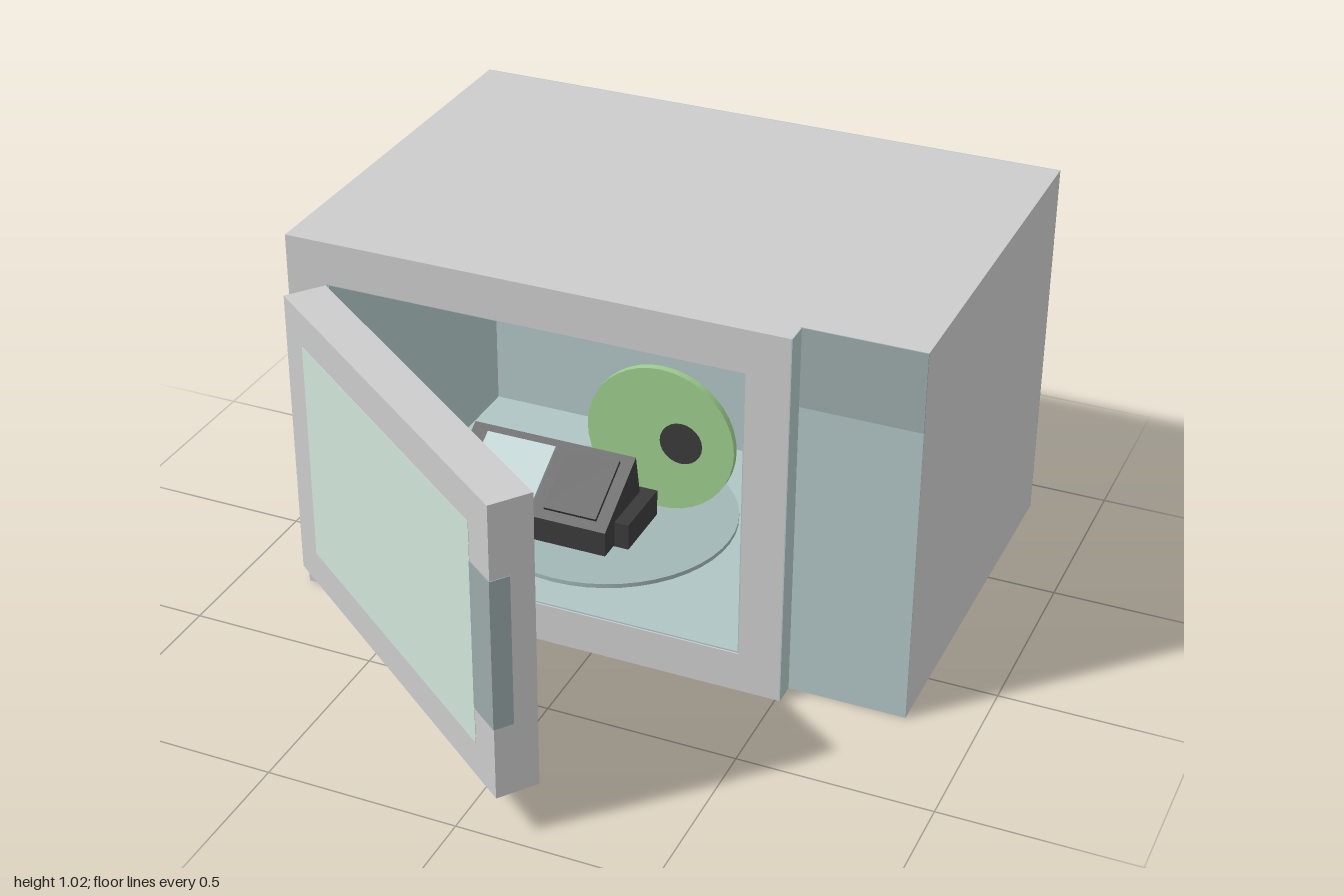
import * as THREE from 'three';

const mat = (color) => new THREE.MeshStandardMaterial({ color });
const grey = mat(0xcccccc), teal = mat(0xb0c4c4), display = mat(0x9caaaa);
const glass = mat(0xcfe3d8), plateGlass = mat(0xa2b6b6), dark = mat(0x3a3a3a), green = mat(0x9ccb8c);

function add(parent, name, geometry, material) {
  const mesh = new THREE.Mesh(geometry, material);
  mesh.name = name;
  parent.add(mesh);
  return mesh;
}

// Box given by its lower and upper limits
function box(parent, name, [x0, x1], [y0, y1], [z0, z1], material) {
  const geometry = new THREE.BoxGeometry(x1 - x0, y1 - y0, z1 - z0);
  geometry.translate((x0 + x1) / 2, (y0 + y1) / 2, (z0 + z1) / 2);
  return add(parent, name, geometry, material);
}

function outline(target, [x0, x1], [y0, y1]) {
  target.moveTo(x0, y0);
  target.lineTo(x1, y0);
  target.lineTo(x1, y1);
  target.lineTo(x0, y1);
  target.closePath();
  return target;
}

// Rectangular frame extruded from z0 to z1
function frame(parent, name, outer, inner, [z0, z1], material) {
  const shape = outline(new THREE.Shape(), ...outer);
  shape.holes.push(outline(new THREE.Path(), ...inner));
  const geometry = new THREE.ExtrudeGeometry(shape, { depth: z1 - z0, bevelEnabled: false });
  geometry.translate(0, 0, z0);
  return add(parent, name, geometry, material);
}

export function createModel() {
  const model = new THREE.Group();
  model.name = 'microwaveOven';

  // Casing with an open cavity
  const opening = [[-0.71, 0.4], [0.11, 0.905]];
  const lining = [[-0.706, 0.396], [0.114, 0.901]];
  frame(model, 'cavityCasing', [[-0.82, 0.51], [0, 1.02]], opening, [-0.67, 0.24], grey);
  box(model, 'controlCasing', [0.51, 0.82], [0, 1.02], [-0.67, 0.177], grey);
  box(model, 'rearCasing', [-0.82, 0.82], [0, 1.02], [-0.887, -0.67], grey);
  frame(model, 'cavityWalls', opening, lining, [-0.67, 0.236], teal);
  box(model, 'cavityBack', ...lining, [-0.67, -0.665], teal);

  // Control panel, display and the step beside them
  box(model, 'controlPanel', [0.51, 0.82], [0, 0.81], [0.177, 0.18], teal);
  box(model, 'display', [0.51, 0.82], [0.81, 1.02], [0.177, 0.18], display);
  box(model, 'panelStep', [0.51, 0.513], [0, 1.02], [0.18, 0.24], teal);

  // Back panel with a tapered housing
  box(model, 'backPanel', [-0.82, 0.82], [0, 1.02], [-0.89, -0.887], teal);
  const housing = new THREE.BoxGeometry(1.34, 0.72, 0.11);
  const p = housing.attributes.position;
  for (let i = 0; i < p.count; i++) {
    if (p.getZ(i) < 0) p.setXY(i, p.getX(i) * 0.91, p.getY(i) * 0.917);
  }
  housing.translate(0, 0.51, -0.945);
  housing.computeVertexNormals();
  add(model, 'backHousing', housing, teal);

  // Door swung open on its hinge
  const door = new THREE.Group();
  door.name = 'door';
  door.position.set(-0.71, 0, 0.245);
  door.rotation.y = -Math.atan2(0.665, 0.885);
  model.add(door);
  frame(door, 'doorFrame', [[0, 1.107], [0.115, 0.905]], [[0.1, 1.01], [0.21, 0.81]], [0, 0.112], grey);
  box(door, 'doorWindow', [0.1, 1.01], [0.21, 0.81], [0.106, 0.113], glass);
  box(door, 'doorGrip', [1.01, 1.109], [0.31, 0.71], [0.062, 0.114], display);

  // Turntable
  const plate = add(model, 'turntable', new THREE.CylinderGeometry(0.35, 0.35, 0.012, 48), plateGlass);
  plate.position.set(-0.155, 0.12, -0.21);

  // Small dark device with a sloping top
  const device = new THREE.Group();
  device.name = 'device';
  model.add(device);
  const side = new THREE.Shape([[0, 0.13], [0, 0.2], [0.2, 0.32], [0.24, 0.13]]
    .map(([x, y]) => new THREE.Vector2(x, y)));
  const body = add(device, 'deviceBody',
    new THREE.ExtrudeGeometry(side, { depth: 0.47, bevelEnabled: false }), dark);
  body.rotation.y = Math.PI / 2;
  body.position.x = -0.54;
  box(device, 'deviceBase', [-0.5, -0.03], [0.126, 0.2], [-0.25, -0.06], dark);
  const slope = Math.atan2(0.12, 0.2);
  for (const [name, x, w, material] of [['deviceScreen', -0.39, 0.2, teal], ['deviceKeys', -0.18, 0.15, dark]]) {
    const pad = add(device, name, new THREE.BoxGeometry(w, 0.015, 0.18), material);
    pad.position.set(x, 0.263, -0.1);
    pad.rotation.x = slope;
  }

  // Upright green disc with a dark centre
  const disc = new THREE.Group();
  disc.name = 'disc';
  disc.position.set(-0.04, 0.335, -0.3);
  model.add(disc);
  const face = add(disc, 'discFace', new THREE.CylinderGeometry(0.21, 0.21, 0.02, 40), green);
  const hub = add(disc, 'discHub', new THREE.CylinderGeometry(0.06, 0.06, 0.026, 24), dark);
  face.rotation.x = hub.rotation.x = Math.PI / 2;
  hub.position.x = 0.06;

  return model;
}
